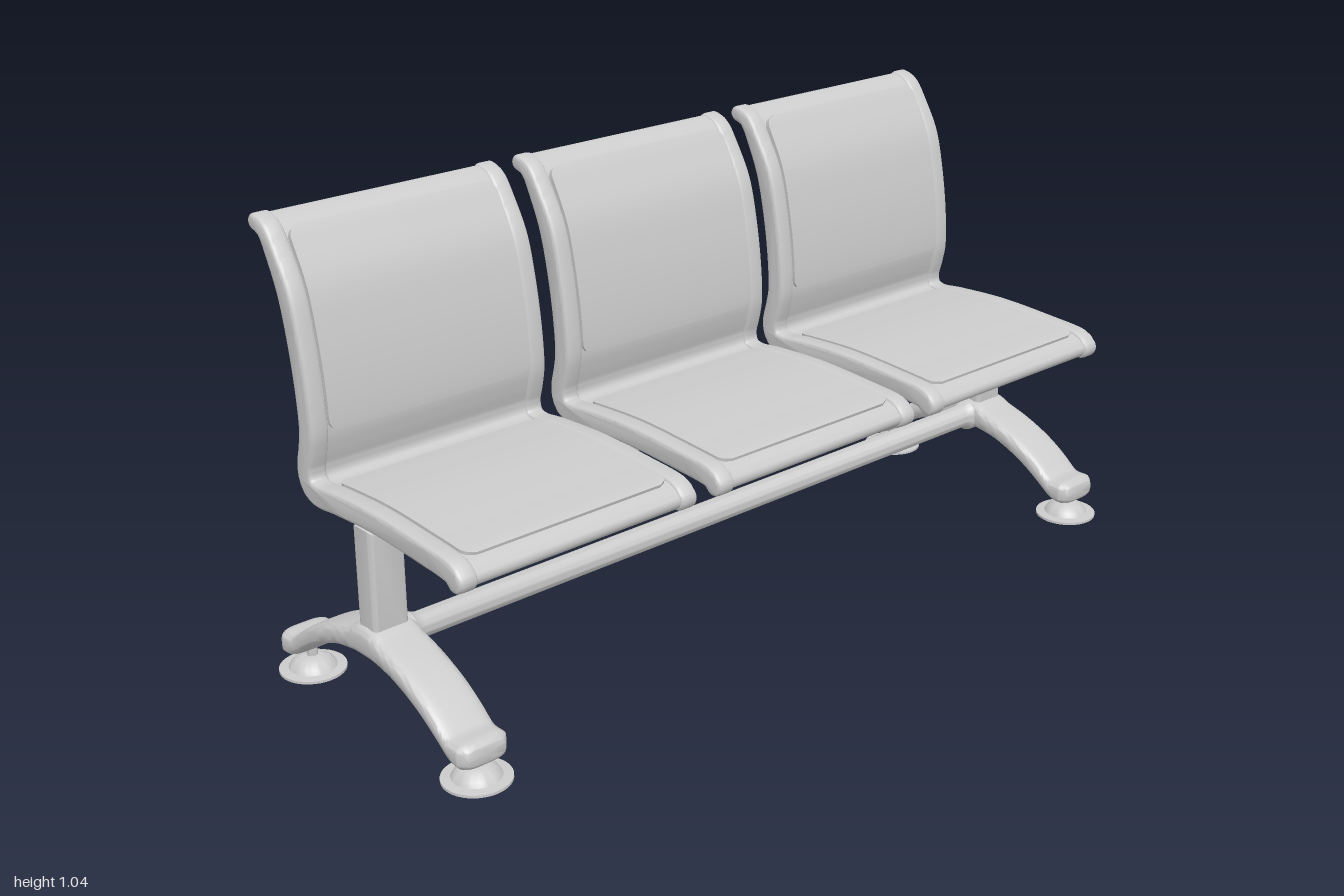
import * as THREE from 'three';
import { toCreasedNormals } from 'three/addons/utils/BufferGeometryUtils.js';
import { ParametricGeometry } from 'three/addons/geometries/ParametricGeometry.js';

const material = new THREE.MeshStandardMaterial({ color: 0xcccccc });
const V2 = (x, y) => new THREE.Vector2(x, y);

function add(parent, name, geometry, x = 0, y = 0, z = 0) {
  const mesh = new THREE.Mesh(geometry, material);
  mesh.name = name;
  mesh.position.set(x, y, z);
  parent.add(mesh);
  return mesh;
}

// Centre line of a seat shell in (z, y), from the front lip to the top of the back
const path = new THREE.SplineCurve([
  [0.312, 0.451], [0.288, 0.466], [0.2, 0.473], [0.04, 0.48], [-0.1, 0.474], [-0.165, 0.468],
  [-0.2, 0.48], [-0.211, 0.515], [-0.2, 0.56], [-0.192, 0.61], [-0.198, 0.7], [-0.214, 0.8],
  [-0.237, 0.89], [-0.275, 0.965], [-0.303, 1.007], [-0.334, 1.02],
].map(([z, y]) => V2(z, y)));
path.arcLengthDivisions = 600;

// Point at distance fraction u, shifted off the centre line towards the sitter
function shellPoint(u, offset) {
  const p = path.getPointAt(u), t = path.getTangentAt(u);
  return V2(p.x + t.y * offset, p.y - t.x * offset);
}

// First distance fraction where a condition on the centre line holds
function findU(test) {
  let u = 0;
  while (u < 1 && !test(path.getPointAt(u))) u += 0.002;
  return Math.min(u, 1);
}

// Band of rounded-end side outline, extruded across x
function bandGeometry(half, width, bevel) {
  const n = 90, upper = [], lower = [];
  const taper = u => half * (1 - 0.28 * THREE.MathUtils.smoothstep(u, 0.82, 1));
  for (let i = 0; i <= n; i++) {
    const u = i / n;
    upper.push(shellPoint(u, taper(u)));
    lower.unshift(shellPoint(u, -taper(u)));
  }
  const cap = (u, dir) => {
    const t = path.getTangentAt(u), out = [];
    for (let i = 1; i < 8; i++) {
      const a = (i / 8) * Math.PI;
      const side = dir * Math.cos(a) * taper(u), along = dir * Math.sin(a) * taper(u);
      out.push(shellPoint(u, side).addScaledVector(t, along));
    }
    return out;
  };
  const shape = new THREE.Shape([...upper, ...cap(1, 1), ...lower, ...cap(0, -1)]);
  const geo = new THREE.ExtrudeGeometry(shape, {
    depth: width - 2 * bevel, bevelEnabled: bevel > 0, bevelSize: bevel, bevelThickness: bevel,
    bevelOffset: -bevel, bevelSegments: 3,
  });
  geo.translate(0, 0, bevel - width / 2).rotateY(-Math.PI / 2);
  return toCreasedNormals(geo, 0.6);
}

// Thin pad with rounded corners, bent along the shell
function padGeometry(u0, u1, width, low, high) {
  const geo = new THREE.BoxGeometry(width, high - low, 1, 2, 1, 64);
  const pos = geo.attributes.position, r = 0.025, length = (u1 - u0) * path.getLength();
  for (let i = 0; i < pos.count; i++) {
    const s = 0.5 - pos.getZ(i);
    const d = Math.max(0, r - Math.min(s, 1 - s) * length);
    const shrink = 1 - (r - Math.sqrt(r * r - d * d)) / (width / 2);
    const p = shellPoint(u0 + (u1 - u0) * s, pos.getY(i) + (low + high) / 2);
    pos.setXYZ(i, pos.getX(i) * shrink, p.y, p.x);
  }
  return toCreasedNormals(geo, 0.6);
}

// Arched leg: stations of (z, top, bottom) from the middle to the toe
const legCurve = new THREE.CatmullRomCurve3([
  [0, 0.238, 0.165], [0.03, 0.234, 0.165], [0.055, 0.222, 0.163], [0.1, 0.208, 0.155],
  [0.15, 0.189, 0.137], [0.2, 0.165, 0.113], [0.25, 0.132, 0.081], [0.27, 0.115, 0.067],
  [0.287, 0.104, 0.055], [0.303, 0.103, 0.048], [0.325, 0.103, 0.046], [0.338, 0.097, 0.05],
  [0.342, 0.087, 0.06],
].map(p => new THREE.Vector3(...p)));

function legGeometry() {
  const n = 72, m = n / 2;
  const round = c => Math.sign(c) * Math.sqrt(Math.abs(c));
  const geo = new ParametricGeometry((u, v, target) => {
    const j = m - Math.round(u * n), k = Math.abs(j) / (m - 1);
    const p = legCurve.getPoint(Math.min(k, 1));
    const size = k > 1 ? 0 : 1, a = v * Math.PI * 2;
    const w = 0.06 - 0.9 * Math.max(0, p.x - 0.325);
    target.set(
      size * w * round(Math.cos(a)),
      (p.y + p.z) / 2 + size * (p.y - p.z) / 2 * round(Math.sin(a)),
      Math.sign(j) * p.x,
    );
  }, n, 32);
  return toCreasedNormals(geo, 0.8);
}

// Two posts and the seat beam as one arch with rounded inner corners
function archGeometry() {
  const X = 0.97, x = 0.885, top = 0.457, under = 0.427, foot = 0.19, r = 0.025;
  const s = new THREE.Shape();
  s.moveTo(-X, foot).lineTo(-x, foot).lineTo(-x, under - r);
  s.quadraticCurveTo(-x, under, -x + r, under).lineTo(x - r, under);
  s.quadraticCurveTo(x, under, x, under - r).lineTo(x, foot);
  s.lineTo(X, foot).lineTo(X, top).lineTo(-X, top).closePath();
  const depth = 0.064, bevel = 0.012;
  const geo = new THREE.ExtrudeGeometry(s, {
    depth: depth - 2 * bevel, bevelSize: bevel, bevelThickness: bevel, bevelOffset: -bevel,
    bevelSegments: 4, curveSegments: 8,
  });
  return toCreasedNormals(geo.translate(0, 0, bevel - depth / 2), 0.6);
}

const lathe = (points, segments) =>
  toCreasedNormals(new THREE.LatheGeometry(points.map(p => V2(...p)), segments), 0.6);

export function createModel() {
  const bench = new THREE.Group();
  bench.name = 'bench';

  // Three seats: shell, two side rails and two pads each
  const width = 0.605, railWidth = 0.045;
  const rail = bandGeometry(0.025, railWidth, 0.009);
  const shell = bandGeometry(0.019, width - railWidth, 0);
  const padWidth = width - 2 * railWidth;
  const seatPad = padGeometry(findU(p => p.x < 0.294), findU(p => p.x < -0.148), padWidth, 0.012, 0.026);
  const backPad = padGeometry(findU(p => p.y > 0.6), findU(p => p.y > 0.998), padWidth, 0.012, 0.027);
  for (const x of [-0.665, 0, 0.663]) {
    const seat = new THREE.Group();
    seat.name = 'seat';
    seat.position.x = x;
    bench.add(seat);
    add(seat, 'seatShell', shell);
    add(seat, 'seatPad', seatPad);
    add(seat, 'backPad', backPad);
    for (const side of [-1, 1]) add(seat, 'sideRail', rail, side * (width - railWidth) / 2);
  }

  // Supporting frame
  add(bench, 'postsAndBeam', archGeometry());
  const bar = lathe([
    [0.04, -0.9], [0.04, -0.868], [0.033, -0.86], [0.029, -0.845],
    [0.029, 0.845], [0.033, 0.86], [0.04, 0.868], [0.04, 0.9],
  ], 32);
  add(bench, 'lowerBar', bar, 0, 0.196).rotation.z = Math.PI / 2;

  // Legs with levelling feet
  const leg = legGeometry();
  const foot = lathe([
    [0, 0], [0.074, 0], [0.074, 0.006], [0.053, 0.008], [0.047, 0.018], [0.036, 0.028],
    [0.022, 0.034], [0.012, 0.035], [0.012, 0.06],
  ], 36);
  for (const side of [-1, 1]) {
    add(bench, 'leg', leg, side * 0.926);
    for (const end of [-1, 1]) add(bench, 'foot', foot, side * 0.926, 0, end * 0.302);
  }
  return bench;
}
